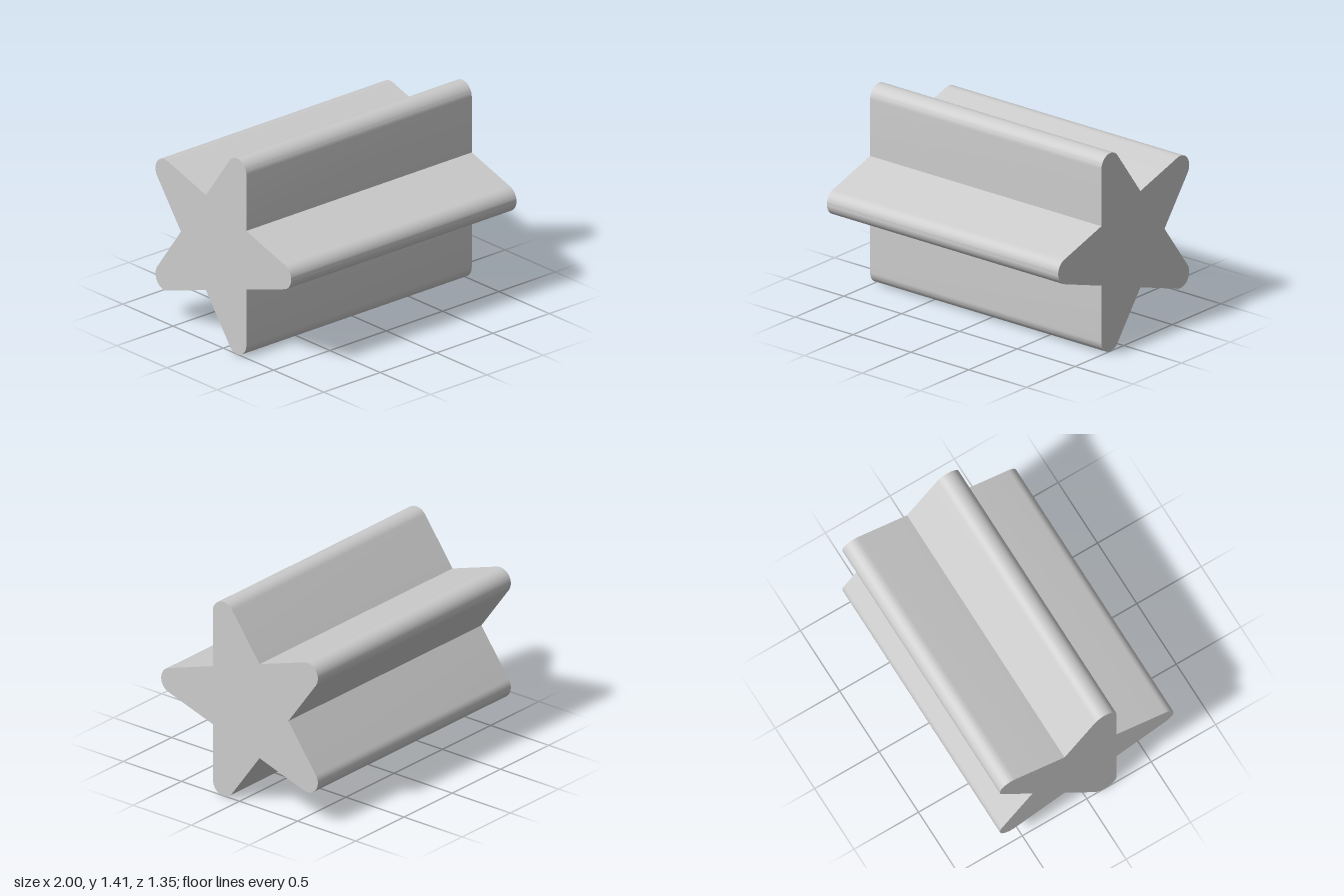
import * as THREE from 'three';
import { toCreasedNormals } from 'three/addons/utils/BufferGeometryUtils.js';

const LENGTH = 2;
const NOTCH_RADIUS = 0.3593; // centre to inner corners
const TIP_CENTRE = 0.644;    // centre to the middle of each rounded tip
const TIP_RADIUS = 0.0917;
const STEP = (Math.PI * 2) / 5;

// Five-pointed star with rounded tips and sharp inner corners
function starShape() {
  const shape = new THREE.Shape();
  for (let i = 0; i < 5; i++) {
    const a = i * STEP;
    shape.absarc(TIP_CENTRE * Math.cos(a), TIP_CENTRE * Math.sin(a), TIP_RADIUS, a - STEP, a + STEP, false);
    const n = a + STEP / 2;
    shape.lineTo(NOTCH_RADIUS * Math.cos(n), NOTCH_RADIUS * Math.sin(n));
  }
  shape.closePath();
  return shape;
}

export function createModel() {
  const model = new THREE.Group();
  model.name = 'starPrism';

  // Star section swept along x, one point facing the front
  const geometry = new THREE.ExtrudeGeometry(starShape(), {
    depth: LENGTH, bevelEnabled: false, curveSegments: 12,
  });
  geometry.translate(0, 0, -LENGTH / 2);
  geometry.rotateY(-Math.PI / 2);

  const bar = new THREE.Mesh(
    toCreasedNormals(geometry, 0.5),
    new THREE.MeshStandardMaterial({ color: 0xcccccc }),
  );
  bar.name = 'starBar';
  bar.position.set(0, 0.704, -0.0613);
  model.add(bar);
  return model;
}
